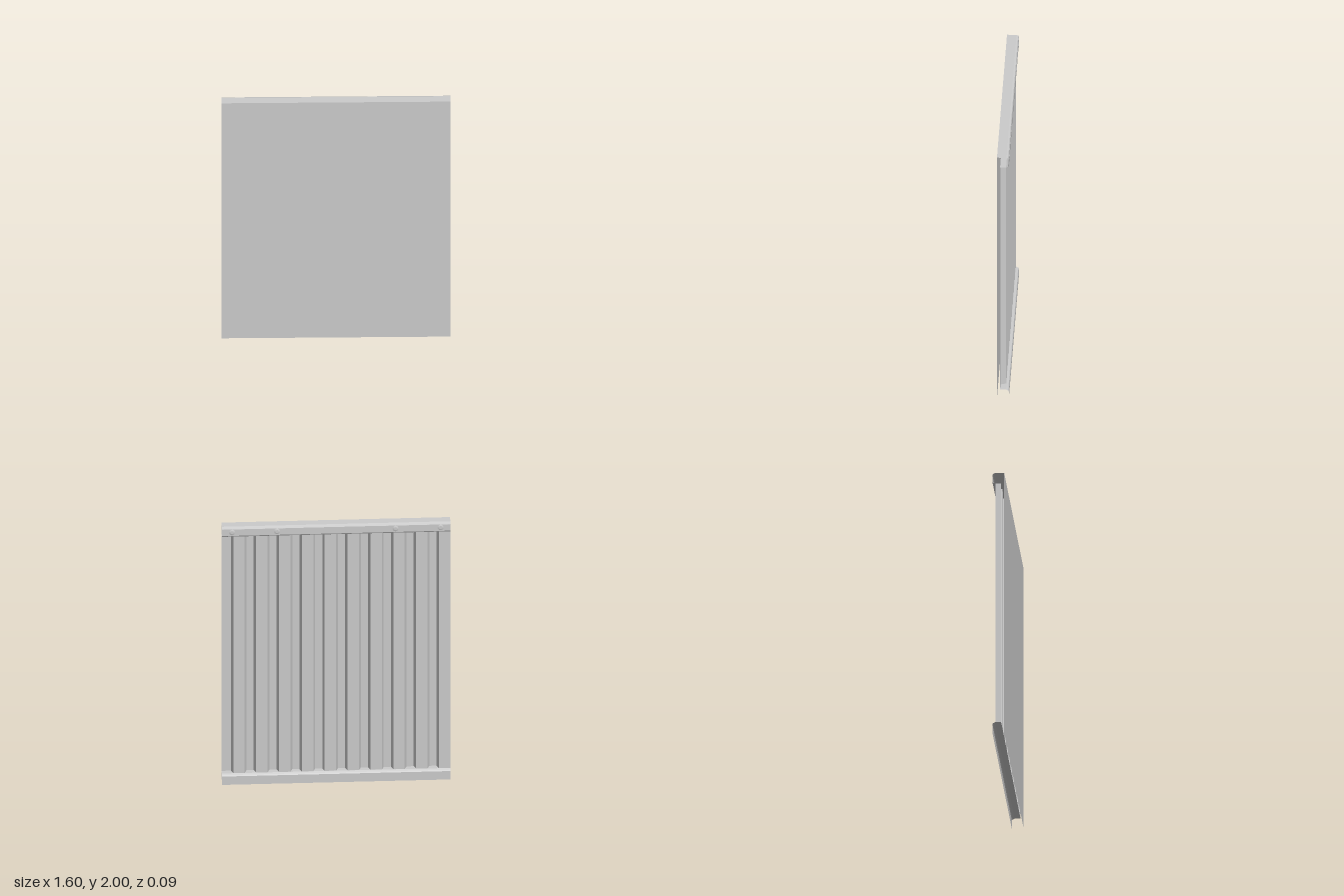
import * as THREE from 'three';

const material = new THREE.MeshStandardMaterial({
  color: 0xcccccc, side: THREE.DoubleSide, flatShading: true,
});

const W = 0.8;      // half width
const Z = 0.042;    // half depth
const Y0 = 0.08, Y1 = 1.92; // corrugated sheet ends

// Sweeps an open profile between two positions; place(u, v, t) gives the 3D point
function sheet(name, profile, from, to, place) {
  const pos = [];
  for (let i = 0; i < profile.length - 1; i++) {
    const a = place(...profile[i], from), b = place(...profile[i + 1], from);
    const c = place(...profile[i + 1], to), d = place(...profile[i], to);
    pos.push(...a, ...b, ...c, ...a, ...c, ...d);
  }
  const geo = new THREE.BufferGeometry();
  geo.setAttribute('position', new THREE.Float32BufferAttribute(pos, 3));
  geo.computeVertexNormals();
  const mesh = new THREE.Mesh(geo, material);
  mesh.name = name;
  return mesh;
}

const alongX = (z, y, x) => [x, y, z];
const alongY = (x, z, y) => [x, y, z];

export function createModel() {
  const group = new THREE.Group();
  group.name = 'wallPanel';

  // Flat front skin
  group.add(sheet('frontSheet', [[Z, 2], [Z, 0]], -W, W, alongX));

  // Folded top rail: flange, rounded corner, back lip, underside
  group.add(sheet('topRail', [
    [Z, 2], [-0.025, 2], [-0.036, 1.996], [-0.041, 1.985],
    [-0.041, 1.935], [-0.036, 1.927], [-0.022, Y1], [0.02, Y1],
  ], W, -W, alongX));

  // Folded bottom rail: shelf, sloped corner, back lip, open below
  group.add(sheet('bottomRail', [
    [0.02, Y0], [-0.022, Y0], [-0.036, 0.073], [-0.041, 0.065], [-0.041, 0],
  ], W, -W, alongX));

  // Corrugated back sheet: ten ridges, starting with a flat valley at +x
  const wave = [[0.785, 0.02]];
  for (let i = 0; i < 10; i++) {
    const x = 0.68 - i * 0.16;
    wave.push([x + 0.055, 0.02], [x + 0.04, -0.02], [x - 0.04, -0.02]);
    wave.push([Math.max(x - 0.055, -0.8), 0.02]);
  }
  group.add(sheet('corrugatedSheet', wave, Y0, Y1, alongY));

  // Hanging tabs in every second valley
  for (let i = 0; i < 5; i++) {
    const tab = new THREE.Mesh(new THREE.PlaneGeometry(0.045, 0.05), material);
    tab.name = 'tab';
    tab.position.set(0.6 - i * 0.32, Y1 - 0.025, 0);
    group.add(tab);
  }

  // Thin plates on the back lip, each with two rivets
  for (const side of [-1, 1]) {
    const plate = new THREE.Mesh(new THREE.BoxGeometry(0.45, 0.046, 0.001), material);
    plate.name = 'lipPlate';
    plate.position.set(side * 0.572, 1.962, -0.0415);
    group.add(plate);
    for (const x of [0.415, 0.73]) {
      const rivet = new THREE.Mesh(new THREE.CylinderGeometry(0.012, 0.022, 0.003, 12), material);
      rivet.name = 'rivet';
      rivet.rotation.x = -Math.PI / 2;
      rivet.position.set(side * x, 1.962, -0.0435);
      group.add(rivet);
    }
  }
  return group;
}
